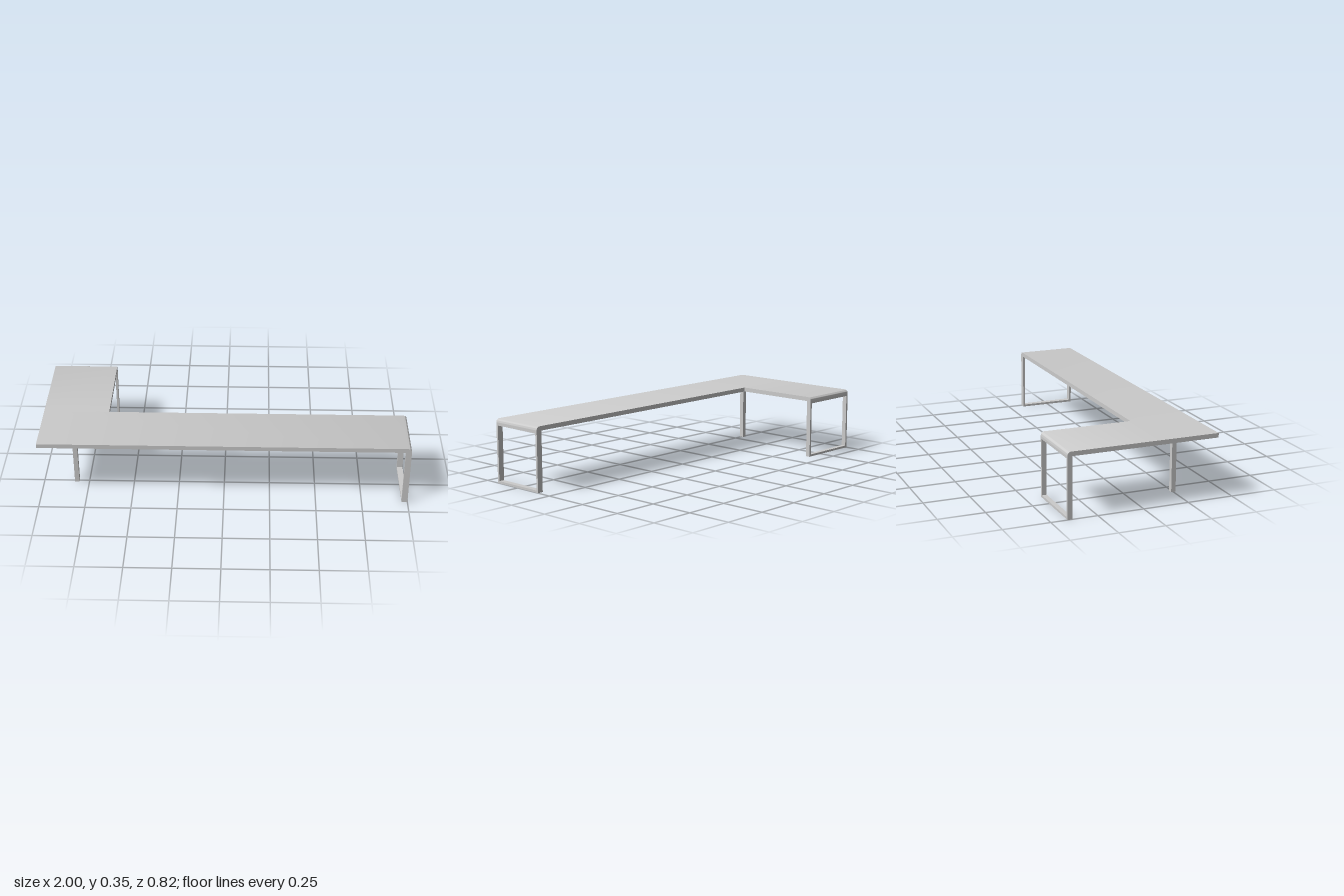
import * as THREE from 'three';
import { toCreasedNormals } from 'three/addons/utils/BufferGeometryUtils.js';

const TOP = 0.35, UNDER = 0.326, BAR = 0.012, ROUND = 0.02;
const X = 1, Z = 0.412, INNER_X = -0.64, INNER_Z = 0.087;

export function createModel() {
  const group = new THREE.Group();
  const material = new THREE.MeshStandardMaterial({ color: 0xcccccc });

  const add = (name, geometry) => {
    const mesh = new THREE.Mesh(geometry, material);
    mesh.name = name;
    group.add(mesh);
    return mesh;
  };
  const extrude = (shape, depth) => toCreasedNormals(
    new THREE.ExtrudeGeometry(shape, { depth, bevelEnabled: false, curveSegments: 8 }), 0.5);

  // Slab section running from u0 to u1, with a rounded upper edge at u1
  const slabShape = (u0, u1) => {
    const s = new THREE.Shape();
    s.moveTo(u0, UNDER);
    s.lineTo(u1, UNDER);
    s.lineTo(u1, TOP - ROUND);
    s.absarc(u1 - ROUND, TOP - ROUND, ROUND, 0, Math.PI / 2, false);
    s.lineTo(u0, TOP);
    s.closePath();
    return s;
  };

  // Rectangular loop of flat bar, from the floor to the underside of the top
  const frameShape = (u0, u1) => {
    const rect = (path, a, b, c, d) =>
      path.moveTo(a, b).lineTo(c, b).lineTo(c, d).lineTo(a, d).closePath();
    const s = rect(new THREE.Shape(), u0, 0, u1, UNDER);
    s.holes.push(rect(new THREE.Path(), u0 + BAR, BAR, u1 - BAR, UNDER - BAR));
    return s;
  };

  // L-shaped top: long desk along x, return running to the back
  add('deskTop', extrude(slabShape(-X, X), Z - INNER_Z)).position.z = INNER_Z;
  const returnTop = add('returnTop',
    extrude(slabShape(-INNER_Z, Z), INNER_X + X).rotateY(Math.PI / 2));
  returnTop.position.x = -X;

  // Loop legs at the two free ends
  const legWidth = 0.032, returnLegWidth = 0.026;
  const deskLeg = add('deskLegFrame',
    extrude(frameShape(-Z, -INNER_Z), legWidth).rotateY(Math.PI / 2));
  deskLeg.position.x = X - legWidth;
  add('returnLegFrame', extrude(frameShape(-X, INNER_X), returnLegWidth)).position.z = -Z;

  // Single square post under the corner
  add('cornerPost', new THREE.BoxGeometry(0.025, UNDER, 0.025))
    .position.set(-0.818, UNDER / 2, 0.25);

  return group;
}
